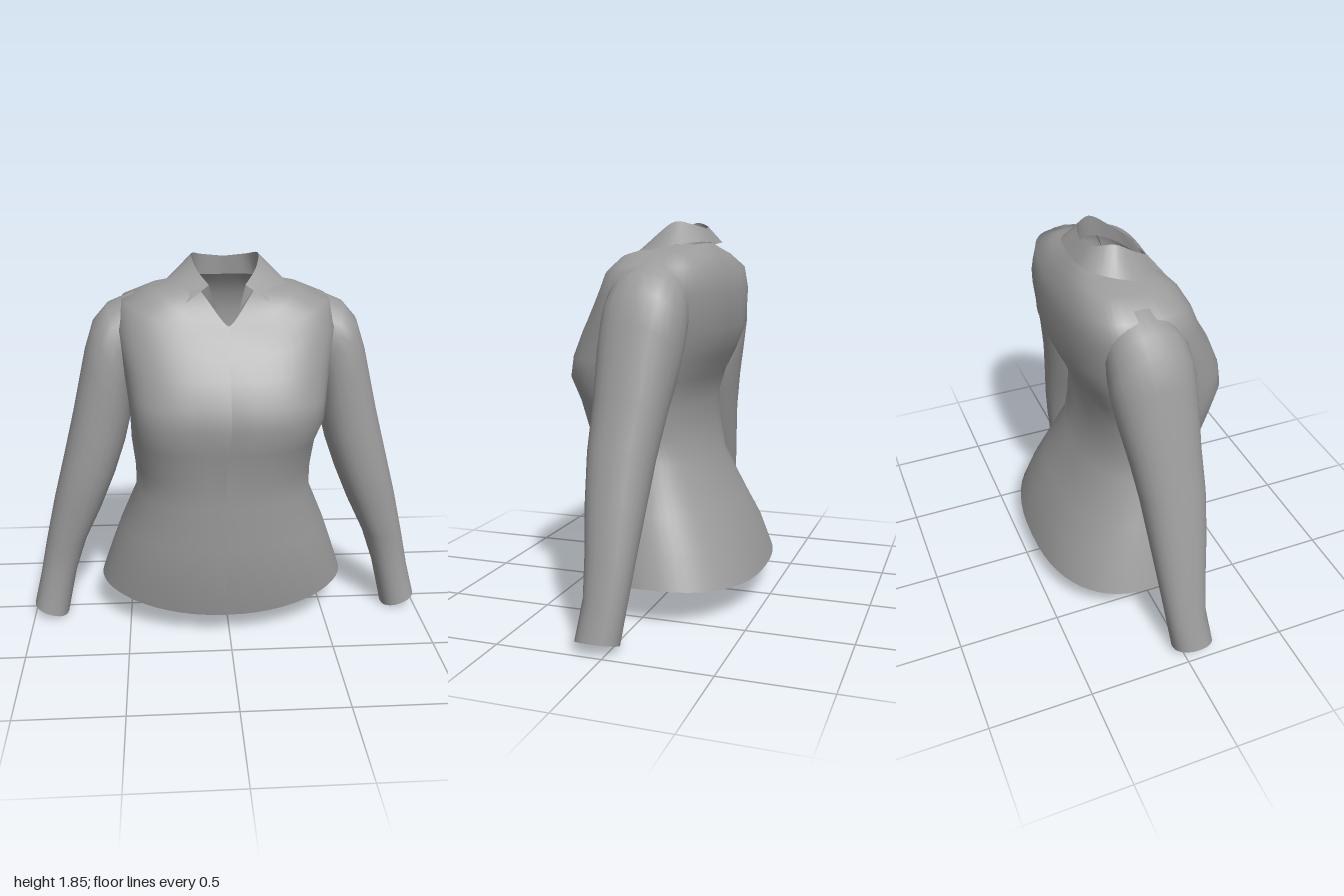
import * as THREE from 'three';

const V = (x, y, z) => new THREE.Vector3(x, y, z);
const spow = (v, p) => Math.sign(v) * Math.pow(Math.abs(v), p);

// Skin a list of equally long point rows; skip(r, c) leaves a quad open
function loft(name, rows, material, closed = false, skip = () => false) {
  const n = rows[0].length, index = [];
  for (let r = 0; r < rows.length - 1; r++) {
    for (let c = 0; c < (closed ? n : n - 1); c++) {
      if (skip(r, c)) continue;
      const a = r * n + c, b = r * n + (c + 1) % n;
      index.push(a, b, a + n, b, b + n, a + n);
    }
  }
  const g = new THREE.BufferGeometry().setFromPoints(rows.flat());
  g.setIndex(index);
  g.computeVertexNormals();
  const mesh = new THREE.Mesh(g, material);
  mesh.name = name;
  return mesh;
}

// Body levels: y front, side, back | half width | z centre, front, back | roundness front, back
const BODY = [
  [0.12, 0.19, 0.15, 0.63, -0.05, 0.35, -0.47, 0.95, 0.85],
  [0.32, 0.34, 0.33, 0.58, -0.03, 0.39, -0.41, 0.92, 0.88],
  [0.50, 0.50, 0.48, 0.525, 0.00, 0.40, -0.33, 0.90, 0.90],
  [0.72, 0.72, 0.70, 0.435, 0.04, 0.41, -0.22, 0.85, 0.90],
  [0.85, 0.85, 0.85, 0.435, 0.05, 0.415, -0.19, 0.80, 0.88],
  [1.00, 1.00, 1.00, 0.45, 0.06, 0.445, -0.175, 0.70, 0.85],
  [1.12, 1.12, 1.12, 0.47, 0.06, 0.47, -0.21, 0.60, 0.80],
  [1.22, 1.22, 1.22, 0.48, 0.05, 0.455, -0.26, 0.62, 0.75],
  [1.34, 1.36, 1.36, 0.50, 0.02, 0.405, -0.31, 0.68, 0.70],
  [1.45, 1.54, 1.53, 0.53, -0.02, 0.335, -0.305, 0.72, 0.65],
  [1.51, 1.655, 1.62, 0.50, -0.04, 0.295, -0.285, 0.75, 0.62],
  [1.555, 1.715, 1.70, 0.36, -0.04, 0.27, -0.24, 0.78, 0.75],
  [1.57, 1.75, 1.76, 0.19, -0.03, 0.26, -0.18, 1.40, 0.95],
];

// Body opens along the front centre line
function bodyRow([yf, ys, yb, hw, zc, zf, zb, pf, pb], level) {
  const row = [], steps = 56, cx = level < 6 ? -0.018 : 0;
  for (let i = 0; i <= steps; i++) {
    const t = Math.PI / 2 - (i / steps) * Math.PI * 2;
    const c = Math.abs(Math.cos(t)) < 1e-9 ? 0 : Math.cos(t), s = Math.sin(t);
    const front = s > 0, p = front ? pf : pb;
    const k = Math.pow(Math.abs(s), level > 9 ? 4 : 2);
    row.push(V(
      cx + hw * spow(c, p),
      ys + ((front ? yf : yb) - ys) * k,
      zc + ((front ? zf : zb) - zc) * Math.pow(Math.abs(s), p)));
  }
  return row;
}

// Sleeve sections: outer x, y | inner x, y | z front, back
const SLEEVE = [
  [0.44, 1.685, 0.38, 1.30, 0.12, -0.20],
  [0.57, 1.63, 0.455, 1.24, 0.16, -0.225],
  [0.64, 1.55, 0.465, 1.15, 0.17, -0.22],
  [0.685, 1.41, 0.475, 1.06, 0.175, -0.20],
  [0.755, 1.10, 0.505, 0.94, 0.175, -0.16],
  [0.81, 0.88, 0.56, 0.78, 0.18, -0.13],
  [0.87, 0.65, 0.63, 0.61, 0.165, -0.11],
  [0.925, 0.41, 0.72, 0.42, 0.14, -0.09],
  [0.962, 0.23, 0.78, 0.24, 0.13, -0.07],
  [1.00, 0.07, 0.83, 0.01, 0.155, -0.045],
];

function sleeveRow([ox, oy, ix, iy, zf, zb], side) {
  const row = [], n = 24;
  for (let i = 0; i < n; i++) {
    const t = (i / n) * Math.PI * 2;
    const k = 0.5 - 0.5 * spow(Math.cos(t), 0.9);
    const z = (zf + zb) / 2 + (zf - zb) / 2 * spow(Math.sin(t), 0.9);
    row.push(V(side * (ox + (ix - ox) * k), oy + (iy - oy) * k, z));
  }
  return row;
}

// Collar edges from centre back to front, mirrored into full rows
const COLLAR = [
  [[0, 1.74, -0.165], [0.14, 1.745, -0.12], [0.175, 1.75, -0.03], [0.13, 1.71, 0.09], [0.05, 1.63, 0.2]],
  [[0, 1.83, -0.155], [0.11, 1.845, -0.125], [0.16, 1.86, -0.05], [0.14, 1.80, 0.05], [0.085, 1.74, 0.14]],
  [[0, 1.755, -0.205], [0.17, 1.765, -0.185], [0.265, 1.75, -0.08], [0.285, 1.72, 0.06], [0.20, 1.665, 0.20]],
];

function collarRow(points) {
  const half = new THREE.CatmullRomCurve3(points.map(p => V(...p))).getPoints(16);
  const other = half.slice(1).reverse().map(p => V(-p.x, p.y, p.z));
  return [...other, ...half];
}

export function createModel() {
  const cloth = new THREE.MeshStandardMaterial({ color: 0x9c9c9c, side: THREE.DoubleSide });
  cloth.name = 'grey cloth';
  const model = new THREE.Group();
  model.name = 'shirt';

  model.add(loft('body', BODY.map(bodyRow), cloth));

  // Sleeves with a short slit on the inner side of each cuff
  for (const [name, side] of [['leftSleeve', 1], ['rightSleeve', -1]]) {
    const rows = SLEEVE.map(s => sleeveRow(s, side));
    if (side < 0) rows.forEach(r => r.reverse());
    const slit = side > 0 ? 13 : 9;
    model.add(loft(name, rows, cloth, true, (r, c) => r === SLEEVE.length - 2 && c === slit));
  }

  // Collar stand and turned-down fall share the fold edge
  const [stand, fold, fall] = COLLAR.map(collarRow);
  model.add(loft('collarStand', [stand, fold], cloth));
  model.add(loft('collarFall', [fall, fold], cloth));
  return model;
}
